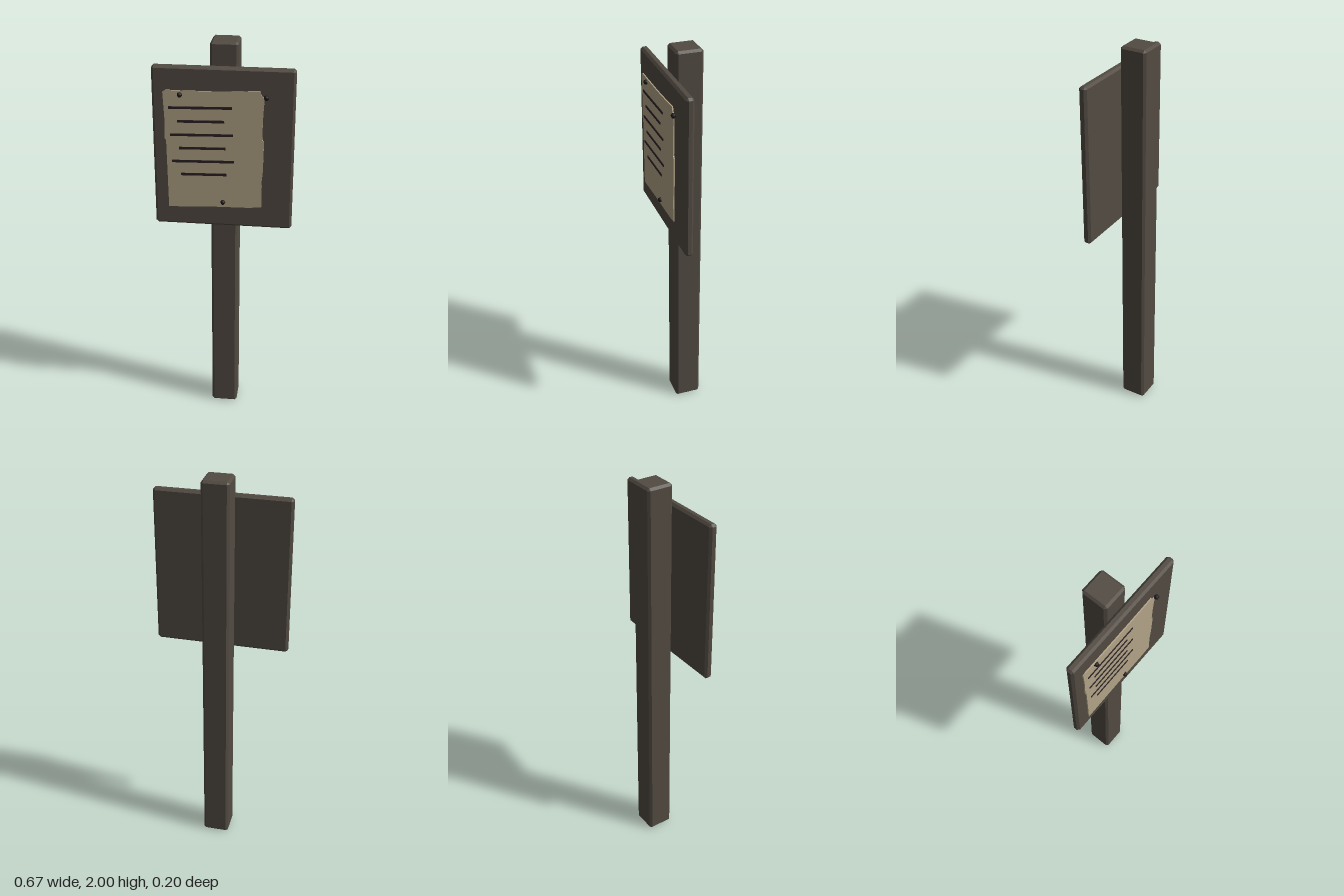
import * as THREE from 'three';
import { ConvexGeometry } from 'three/addons/geometries/ConvexGeometry.js';

const material = (name, color) => {
  const m = new THREE.MeshStandardMaterial({ color });
  m.name = name;
  return m;
};

// Box with every edge cut at 45 degrees
function chamferBox(w, h, d, c) {
  const points = [];
  const half = [w / 2, h / 2, d / 2];
  for (const sx of [-1, 1]) for (const sy of [-1, 1]) for (const sz of [-1, 1]) {
    for (let axis = 0; axis < 3; axis++) {
      const [x, y, z] = half.map((v, i) => (i === axis ? v : v - c));
      points.push(new THREE.Vector3(sx * x, sy * y, sz * z));
    }
  }
  return new ConvexGeometry(points);
}

export function createModel() {
  const wood = material('dark wood', 0x524b42);
  const parchment = material('parchment', 0xb5a588);
  const ink = material('ink', 0x2a2023);
  const iron = material('black iron', 0x1c1819);

  const sign = new THREE.Group();
  sign.name = 'noticeSign';
  const add = (name, geometry, mat, x, y, z) => {
    const mesh = new THREE.Mesh(geometry, mat);
    mesh.name = name;
    mesh.position.set(x, y, z);
    sign.add(mesh);
    return mesh;
  };

  // Post and board
  add('post', chamferBox(0.132, 2, 0.132, 0.011), wood, 0, 1, -0.036);
  add('board', chamferBox(0.666, 0.796, 0.04, 0.011), wood, 0, 1.497, 0.057);

  // Sheet of paper with slightly torn edges
  const outline = [
    [-0.28, 1.775], [-0.265, 1.785], [-0.21, 1.784], [-0.05, 1.785], [0.09, 1.79],
    [0.17, 1.795], [0.18, 1.77], [0.192, 1.765], [0.186, 1.66], [0.184, 1.56],
    [0.193, 1.55], [0.19, 1.4], [0.184, 1.33], [0.187, 1.215], [0.13, 1.208],
    [-0.05, 1.205], [-0.2, 1.198], [-0.264, 1.196], [-0.266, 1.34], [-0.269, 1.54],
    [-0.277, 1.55], [-0.274, 1.65],
  ].map(([x, y]) => new THREE.Vector2(x, y));
  const paper = new THREE.ExtrudeGeometry(new THREE.Shape(outline), { depth: 0.006, bevelEnabled: false });
  add('paper', paper, parchment, 0, 0, 0.081);

  // Pen strokes, long and short by turns
  for (let i = 0; i < 6; i++) {
    const stroke = new THREE.BoxGeometry(i % 2 ? 0.22 : 0.296, 0.012, 0.004);
    add('stroke', stroke, ink, -0.106 + i * 0.0028, 1.705 - i * 0.0664, 0.088)
      .rotation.z = 0.025;
  }

  // Nails
  for (const [x, y] of [[-0.2, 1.765], [0.2, 1.765], [0, 1.232]]) {
    add('nail', new THREE.SphereGeometry(0.0125, 5, 6), iron, x, y, 0.0905)
      .rotation.y = -Math.PI / 2;
  }
  return sign;
}
